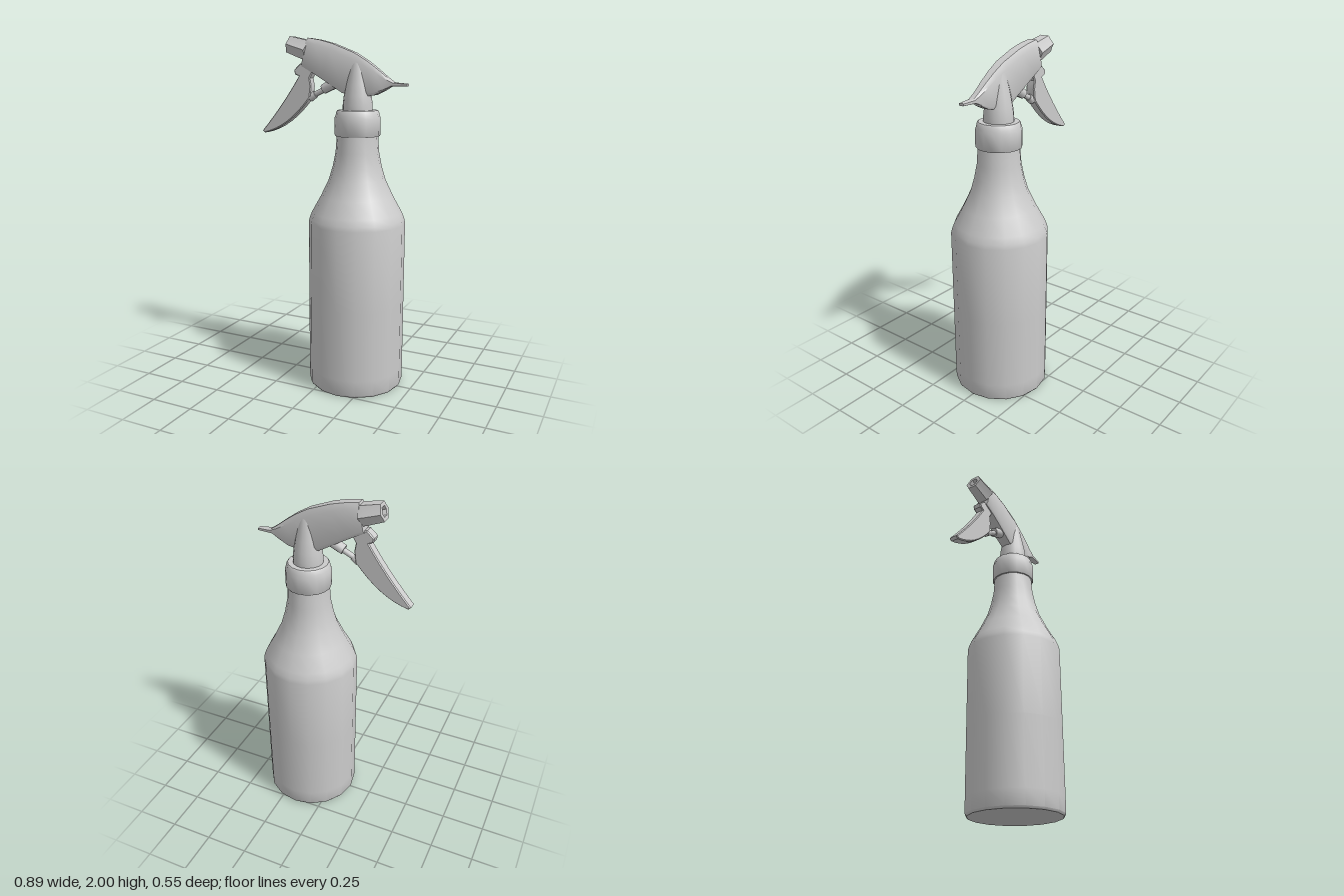
import * as THREE from 'three';
import { toCreasedNormals } from 'three/addons/utils/BufferGeometryUtils.js';

const material = new THREE.MeshStandardMaterial({ color: 0xcccccc });
const AXIS = 0.155; // x of the bottle's centre line

function part(name, geometry, crease = 0.7) {
  const mesh = new THREE.Mesh(toCreasedNormals(geometry, crease), material);
  mesh.name = name;
  return mesh;
}

function lathe(profile, sides) {
  return new THREE.LatheGeometry(profile.map(([r, y]) => new THREE.Vector2(r, y)), sides);
}

// Skin over stations [topX, topY, bottomX, bottomY, halfWidth] running along +x
function loft(stations, section) {
  const n = section.length, pos = [], idx = [];
  for (const [tx, ty, bx, by, w] of stations) {
    for (const [s, v] of section) pos.push(bx + (tx - bx) * v, by + (ty - by) * v, s * w);
  }
  for (let i = 0; i < stations.length - 1; i++) {
    for (let j = 0; j < n; j++) {
      const a = i * n + j, b = i * n + (j + 1) % n;
      idx.push(a, b, b + n, a, b + n, a + n);
    }
  }
  const last = (stations.length - 1) * n;
  for (let j = 1; j < n - 1; j++) {
    idx.push(0, j + 1, j, last, last + j, last + j + 1);
  }
  const g = new THREE.BufferGeometry();
  g.setAttribute('position', new THREE.Float32BufferAttribute(pos, 3));
  g.setIndex(idx);
  return g;
}

// Tapered rod between two points in the z = 0 plane
function rod(name, [x0, y0], [x1, y1], r0, r1) {
  const g = new THREE.CylinderGeometry(r1, r0, Math.hypot(x1 - x0, y1 - y0), 10);
  g.rotateZ(Math.atan2(y1 - y0, x1 - x0) - Math.PI / 2);
  g.translate((x0 + x1) / 2, (y0 + y1) / 2, 0);
  return part(name, g);
}

export function createModel() {
  const model = new THREE.Group();
  model.name = 'sprayBottle';

  // Bottle, collar and stem share the centre line
  const turned = [
    ['bottle', 16, [[0, 0], [0.265, 0], [0.274, 0.012], [0.275, 0.1], [0.275, 0.5], [0.275, 0.96],
      [0.269, 0.985], [0.255, 1.02], [0.205, 1.11], [0.16, 1.205], [0.138, 1.28], [0.122, 1.36], [0.115, 1.46]]],
    ['collar', 16, [[0.1, 1.45], [0.124, 1.45], [0.128, 1.458], [0.128, 1.55], [0.122, 1.565],
      [0.118, 1.585], [0.112, 1.592], [0.07, 1.592]]],
    ['stem', 16, [[0.083, 1.585], [0.083, 1.62], [0.077, 1.67], [0.066, 1.73], [0.053, 1.79], [0.04, 1.85], [0, 1.86]]],
  ];
  for (const [name, sides, profile] of turned) {
    const mesh = part(name, lathe(profile, sides));
    mesh.position.x = AXIS;
    model.add(mesh);
  }

  // Head housing, tapering back into a thin tail
  const section = [[0.6, 1], [1, 0.84], [1, 0.1], [0.8, 0], [-0.8, 0], [-1, 0.1], [-1, 0.84], [-0.6, 1]];
  model.add(part('head', loft([
    [-0.142, 1.985, -0.177, 1.83, 0.041],
    [-0.07, 1.973, -0.115, 1.797, 0.044],
    [0.01, 1.952, -0.05, 1.76, 0.044],
    [0.14, 1.902, 0.075, 1.685, 0.041],
    [0.215, 1.858, 0.2, 1.668, 0.036],
    [0.275, 1.815, 0.26, 1.675, 0.031],
    [0.33, 1.772, 0.31, 1.697, 0.026],
    [0.37, 1.744, 0.355, 1.723, 0.022],
    [0.445, 1.738, 0.445, 1.724, 0.015],
  ], section), 0.6));

  // Nozzle: six-lobed tapered knob with a recessed mouth
  const nozzle = lathe([[0, -0.01], [0.062, -0.01], [0.061, 0.02], [0.053, 0.112], [0.03, 0.112], [0.024, 0.085], [0, 0.085]], 12);
  const p = nozzle.attributes.position;
  for (let i = 0; i < p.count; i++) {
    const step = Math.round(Math.atan2(p.getX(i), p.getZ(i)) / (Math.PI / 6));
    const k = step % 2 === 0 ? 1 : 0.84;
    p.setX(i, p.getX(i) * k);
    p.setZ(i, p.getZ(i) * k);
  }
  nozzle.rotateZ(1.28);
  nozzle.translate(-0.16, 1.92, 0);
  model.add(part('nozzle', nozzle, 0.5));

  // Trigger: curved lever with a hinge knuckle at the top
  const s = new THREE.Shape();
  s.moveTo(-0.19, 1.845);
  s.lineTo(-0.23, 1.81);
  s.lineTo(-0.225, 1.785);
  s.lineTo(-0.2, 1.775);
  s.quadraticCurveTo(-0.3, 1.62, -0.445, 1.46);
  s.lineTo(-0.43, 1.447);
  s.quadraticCurveTo(-0.27, 1.48, -0.13, 1.655);
  s.lineTo(-0.122, 1.72);
  s.lineTo(-0.13, 1.765);
  s.lineTo(-0.11, 1.8);
  s.lineTo(-0.13, 1.835);
  const trigger = new THREE.ExtrudeGeometry(s, {
    depth: 0.044, curveSegments: 8, bevelThickness: 0.006, bevelSize: 0.005, bevelOffset: -0.005, bevelSegments: 1,
  });
  trigger.translate(0, 0, -0.022);
  model.add(part('trigger', trigger, 0.6));

  // Plunger linking the trigger to the pump inside the head
  model.add(rod('plungerFoot', [-0.14, 1.655], [-0.105, 1.675], 0.025, 0.02));
  model.add(rod('plungerRod', [-0.12, 1.668], [0.03, 1.74], 0.015, 0.017));
  model.add(rod('pumpBarrel', [-0.055, 1.703], [0.05, 1.755], 0.028, 0.032));

  return model;
}
